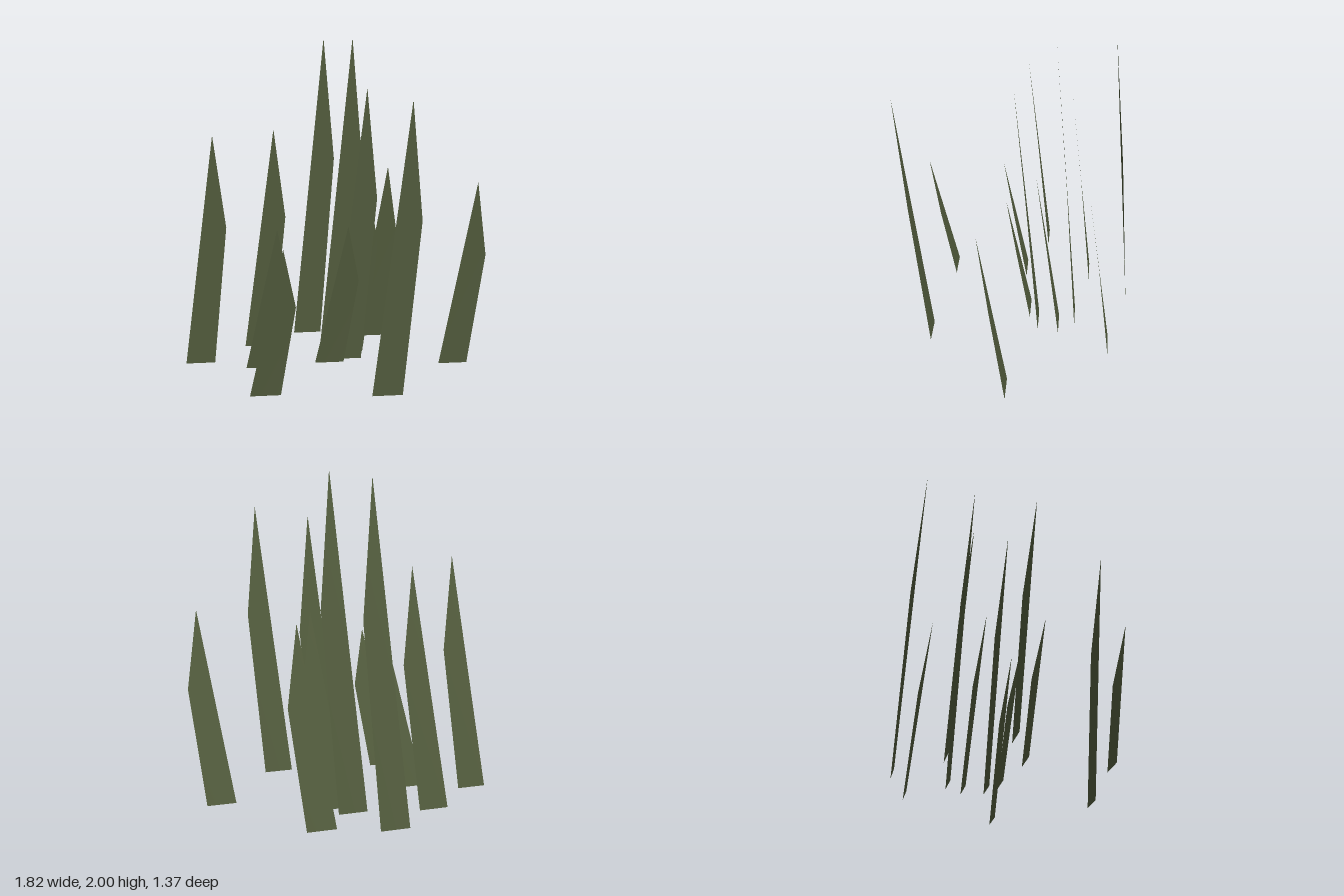
import * as THREE from 'three';

// Each blade: base-left corner x, z and height
const BLADES = [
  [-0.195, -0.685, 1.98], [0.205, -0.57, 1.17], [-0.533, -0.44, 1.44],
  [-0.055, -0.357, 2.0], [0.03, -0.257, 1.17], [0.003, -0.127, 1.72],
  [-0.115, -0.07, 0.9], [-0.912, -0.15, 1.45], [-0.545, -0.02, 0.9],
  [0.646, 0.03, 1.17], [-0.545, 0.455, 0.9], [0.153, 0.535, 1.72],
];

// Flat leaning blade: straight base, one shoulder, pointed tip
function bladeGeometry(height) {
  const geometry = new THREE.BufferGeometry();
  geometry.setAttribute('position', new THREE.Float32BufferAttribute([
    0, 0, 0,
    0.178, 0, 0,
    0.262, height * 0.605, 0.076,
    0.188, height, 0.146,
  ], 3));
  geometry.setIndex([0, 1, 2, 0, 2, 3]);
  geometry.computeVertexNormals();
  return geometry;
}

export function createModel() {
  const group = new THREE.Group();
  group.name = 'grassTuft';
  const grassGreen = new THREE.MeshStandardMaterial({ color: 0x566040, side: THREE.DoubleSide });
  grassGreen.name = 'grass green';

  BLADES.forEach(([x, z, height], i) => {
    const blade = new THREE.Mesh(bladeGeometry(height), grassGreen);
    blade.name = `grassBlade${i + 1}`;
    blade.position.set(x, 0, z);
    group.add(blade);
  });
  return group;
}
